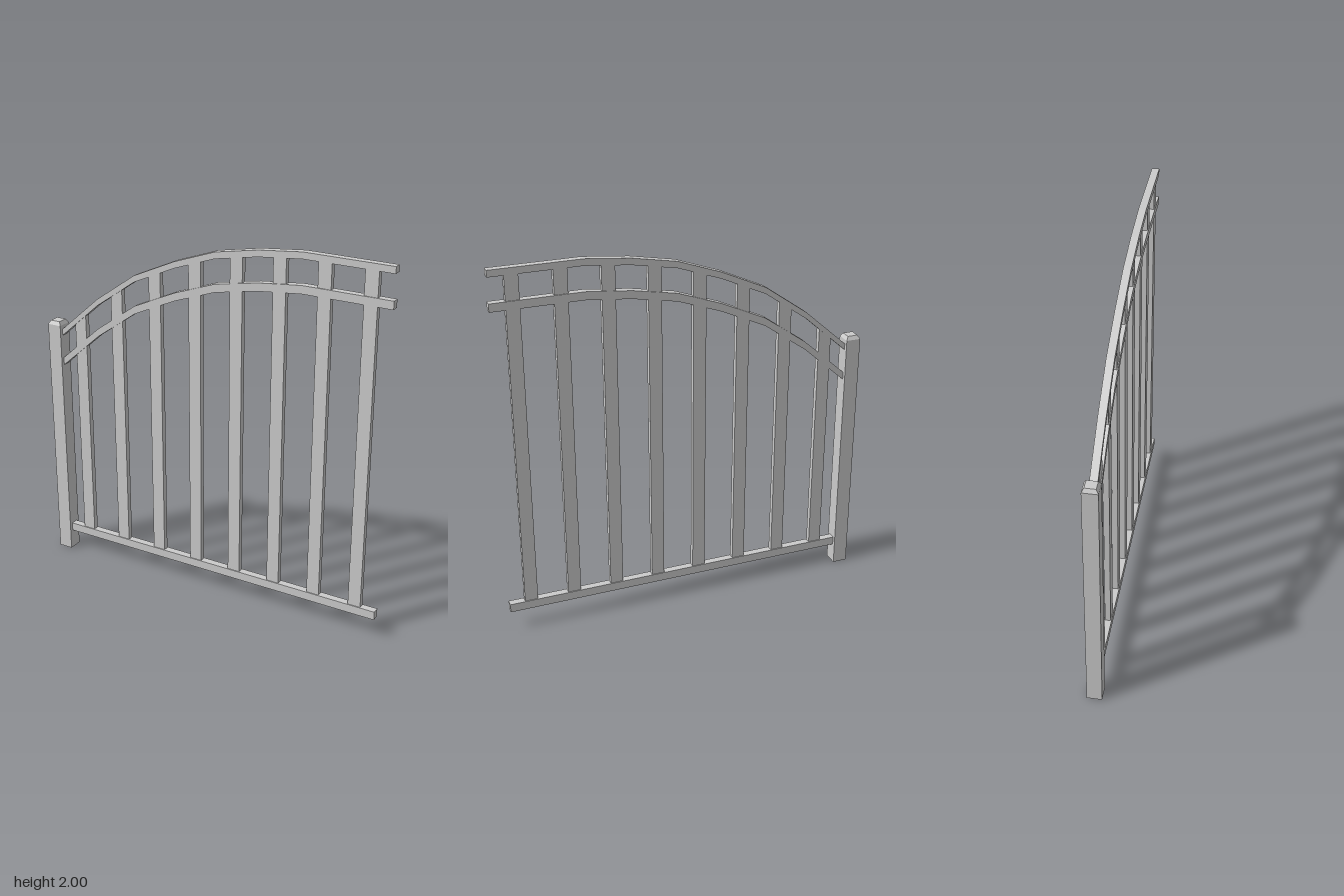
import * as THREE from 'three';

const material = new THREE.MeshStandardMaterial({ color: 0xcccccc, flatShading: true });

// Upper edge of the arched top rail, from post to free end
const ARCH = [
  [-0.915, 1.357], [-0.677, 1.567], [-0.441, 1.734], [-0.195, 1.846],
  [0.04, 1.93], [0.279, 1.975], [0.518, 2.0], [0.99, 2.0],
];

function archY(x) {
  let i = 1;
  while (i < ARCH.length - 1 && x > ARCH[i][0]) i++;
  const [x0, y0] = ARCH[i - 1];
  const [x1, y1] = ARCH[i];
  return y0 + ((y1 - y0) * (x - x0)) / (x1 - x0);
}

// Flat outline in x/y, extruded evenly about z = 0
function slab(name, points, depth) {
  const shape = new THREE.Shape(points.map(([x, y]) => new THREE.Vector2(x, y)));
  const geometry = new THREE.ExtrudeGeometry(shape, { depth, bevelEnabled: false });
  geometry.translate(0, 0, -depth / 2);
  const mesh = new THREE.Mesh(geometry, material);
  mesh.name = name;
  return mesh;
}

function archedRail(name, drop, height) {
  const top = ARCH.map(([x, y]) => [x, y - drop]);
  const bottom = top.map(([x, y]) => [x, y - height]).reverse();
  return slab(name, [...top, ...bottom], 0.04);
}

function box(name, w, h, d, x, y) {
  const mesh = new THREE.Mesh(new THREE.BoxGeometry(w, h, d), material);
  mesh.position.set(x, y, 0);
  mesh.name = name;
  return mesh;
}

export function createModel() {
  const model = new THREE.Group();
  model.name = 'archedFencePanel';

  // Square post with a chamfered cap
  const post = new THREE.Group();
  post.name = 'post';
  post.add(box('postShaft', 0.08, 1.38, 0.08, -0.955, 0.69));
  const capGeometry = new THREE.CylinderGeometry(0.028 * Math.SQRT2, 0.04 * Math.SQRT2, 0.02, 4);
  capGeometry.rotateY(Math.PI / 4);
  const cap = new THREE.Mesh(capGeometry, material);
  cap.position.set(-0.955, 1.39, 0);
  cap.name = 'postCap';
  post.add(cap);
  model.add(post);

  // Rails
  model.add(archedRail('topRail', 0, 0.035));
  model.add(archedRail('middleRail', 0.165, 0.043));
  model.add(box('bottomRail', 1.905, 0.047, 0.04, 0.0375, 0.133));

  // Pickets, with tops cut to the slope of the arch
  const pickets = new THREE.Group();
  pickets.name = 'pickets';
  for (let i = 0; i < 8; i++) {
    const x = -0.795 + i * 0.2383;
    const l = x - 0.035;
    const r = x + 0.035;
    pickets.add(slab(`picket${i + 1}`, [
      [l, 0.15], [r, 0.15], [r, archY(r) - 0.03], [l, archY(l) - 0.03],
    ], 0.03));
  }
  model.add(pickets);

  return model;
}
